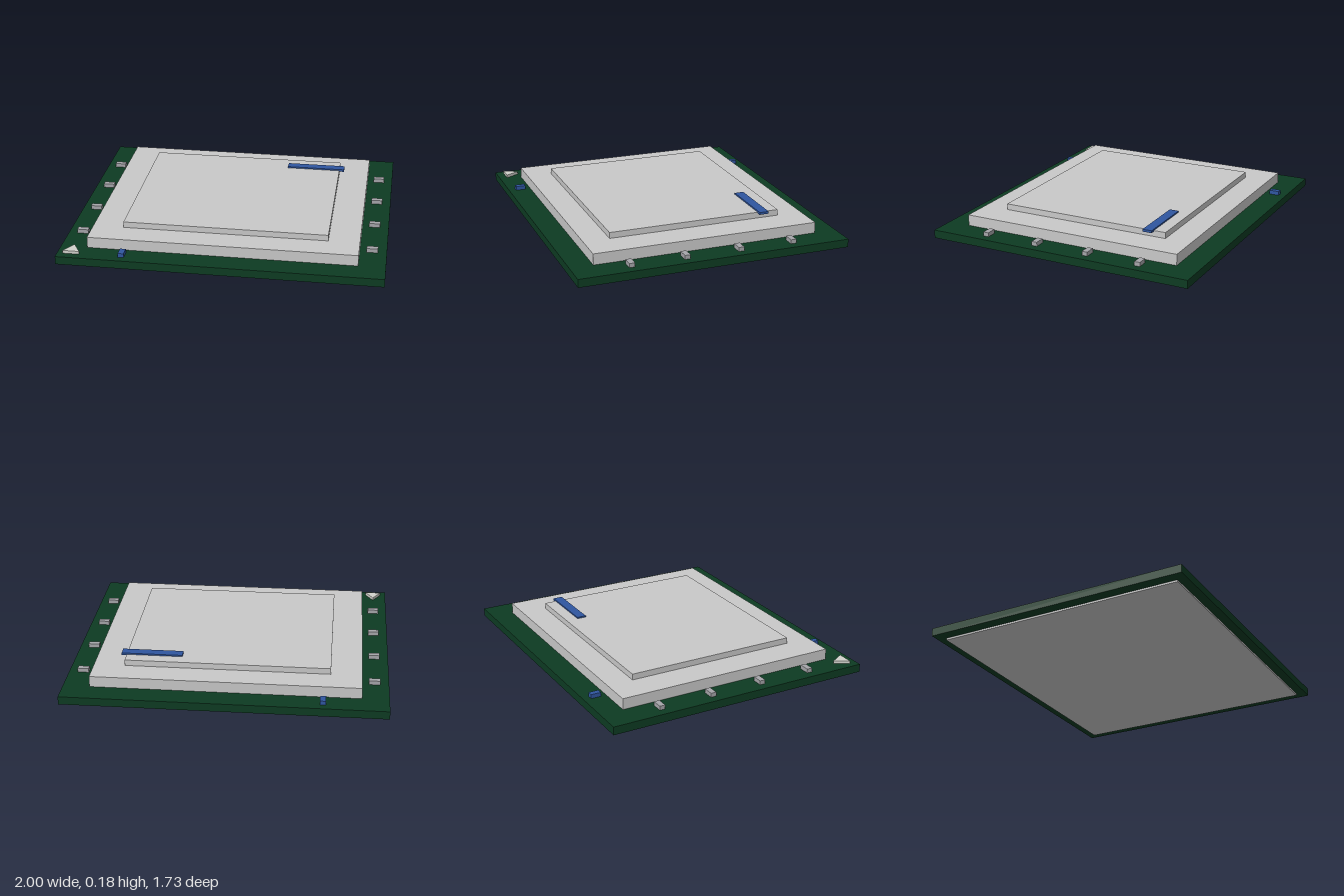
import * as THREE from 'three';

const mat = (name, color) => {
  const m = new THREE.MeshStandardMaterial({ color });
  m.name = name;
  return m;
};

export function createModel() {
  const green = mat('boardGreen', 0x0d3b22);
  const silver = mat('lidSilver', 0xc8c8c8);
  const grey = mat('capacitorGrey', 0xa6a6aa);
  const blue = mat('accentBlue', 0x2f56a0);
  const pale = mat('markerPale', 0xd2d2cc);
  const model = new THREE.Group();
  model.name = 'processorChip';

  // Box given by centre x/z, bottom and top heights, width and depth
  const box = (name, material, w, d, y0, y1, x = 0, z = 0) => {
    const mesh = new THREE.Mesh(new THREE.BoxGeometry(w, y1 - y0, d), material);
    mesh.position.set(x, (y0 + y1) / 2, z);
    mesh.name = name;
    model.add(mesh);
  };

  // Contact pad, board and stepped metal lid
  box('contactPad', silver, 1.86, 1.61, 0, 0.013);
  box('circuitBoard', green, 2, 1.73, 0.012, 0.064);
  box('lidBase', silver, 1.668, 1.44, 0.064, 0.134);
  box('lidTop', silver, 1.28, 1.11, 0.134, 0.172);
  box('lidStripe', blue, 0.384, 0.06, 0.166, 0.181, 0.48, -0.448);

  // Capacitors along both sides
  for (const x of [-0.91, 0.91]) {
    for (let i = 0; i < 4; i++) {
      box('capacitor', grey, 0.07, 0.036, 0.064, 0.09, x, -0.519 + i * 0.346);
    }
  }

  // Blue keys near the front and back edges
  for (const z of [-0.787, 0.787]) {
    box('boardKey', blue, 0.036, 0.064, 0.064, 0.09, -0.6, z);
  }

  // Triangular corner marker
  const marker = new THREE.Mesh(new THREE.CylinderGeometry(0.06, 0.06, 0.02, 3), pale);
  marker.geometry.rotateY(Math.PI);
  marker.position.set(-0.912, 0.073, 0.785);
  marker.name = 'cornerMarker';
  marker.material.flatShading = true;
  model.add(marker);

  return model;
}
